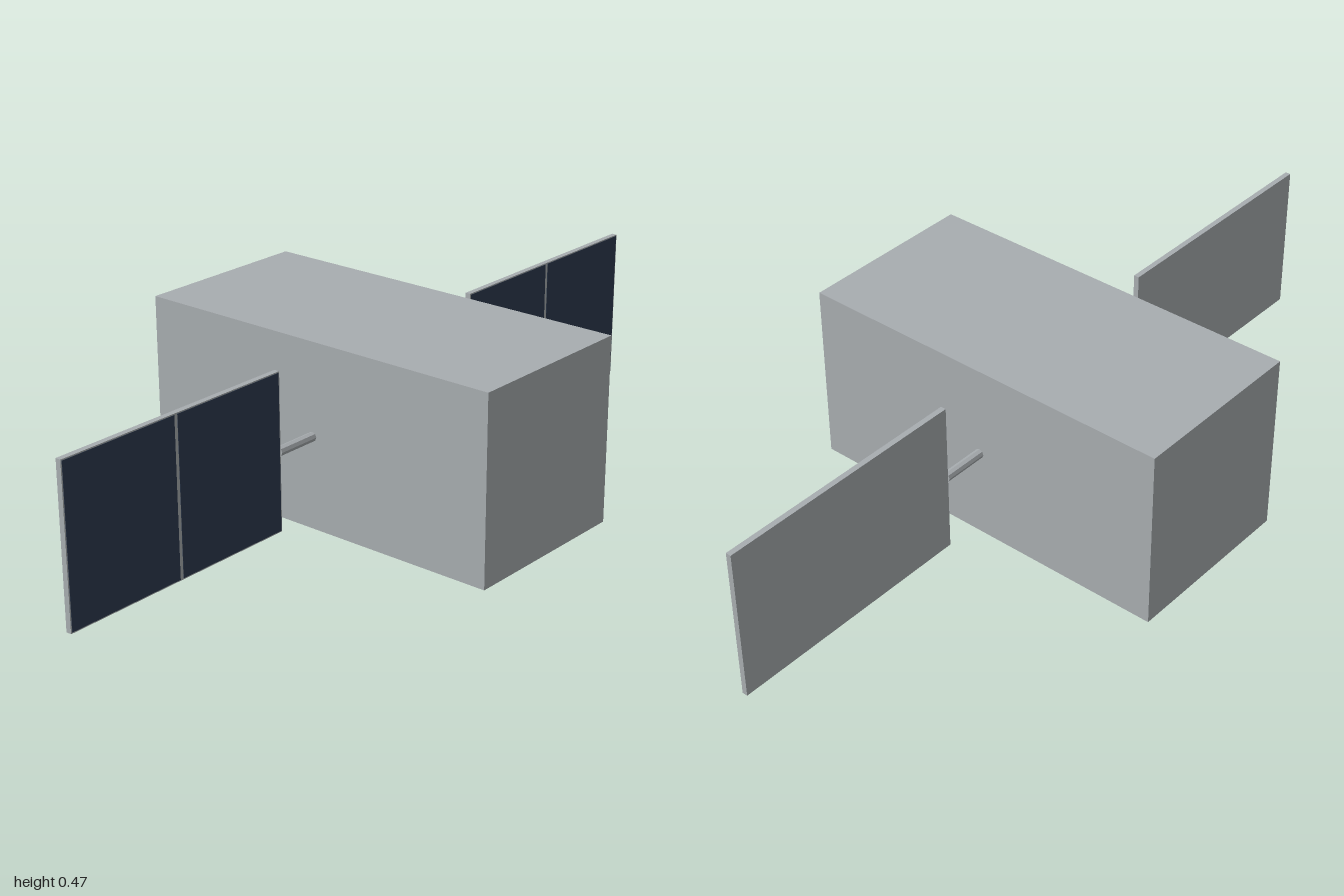
import * as THREE from 'three';

export function createModel() {
  const model = new THREE.Group();
  const hull = new THREE.MeshStandardMaterial({ color: 0xa8adb0 });
  hull.name = 'hullGrey';
  const cell = new THREE.MeshStandardMaterial({ color: 0x2c3a4e });
  cell.name = 'solarBlue';
  const rodMid = 0.234;

  const add = (parent, name, geometry, material, x, y, z) => {
    const mesh = new THREE.Mesh(geometry, material);
    mesh.name = name;
    mesh.position.set(x, y, z);
    parent.add(mesh);
    return mesh;
  };

  // Main box body
  add(model, 'body', new THREE.BoxGeometry(0.467, 0.467, 1), hull, 0, 0.2335, 0);

  // A rod and a two-cell solar panel on each side
  for (const side of [1, -1]) {
    const wing = new THREE.Group();
    wing.name = side > 0 ? 'leftWing' : 'rightWing';
    model.add(wing);

    const rodGeometry = new THREE.CylinderGeometry(0.0117, 0.0117, 0.117, 8).toNonIndexed();
    rodGeometry.computeVertexNormals();
    rodGeometry.rotateZ(Math.PI / 2);
    add(wing, 'panelRod', rodGeometry, hull, side * 0.2915, rodMid, 0);

    add(wing, 'panelFrame', new THREE.BoxGeometry(0.65, 0.393, 0.014), hull, side * 0.675, rodMid, 0);

    // Dark cells on the front face, leaving a thin rim and a divider
    for (const offset of [-0.1633, 0.1633]) {
      add(wing, 'solarCell', new THREE.BoxGeometry(0.317, 0.387, 0.002), cell,
        side * 0.675 + offset, rodMid, 0.007);
    }
  }
  return model;
}
